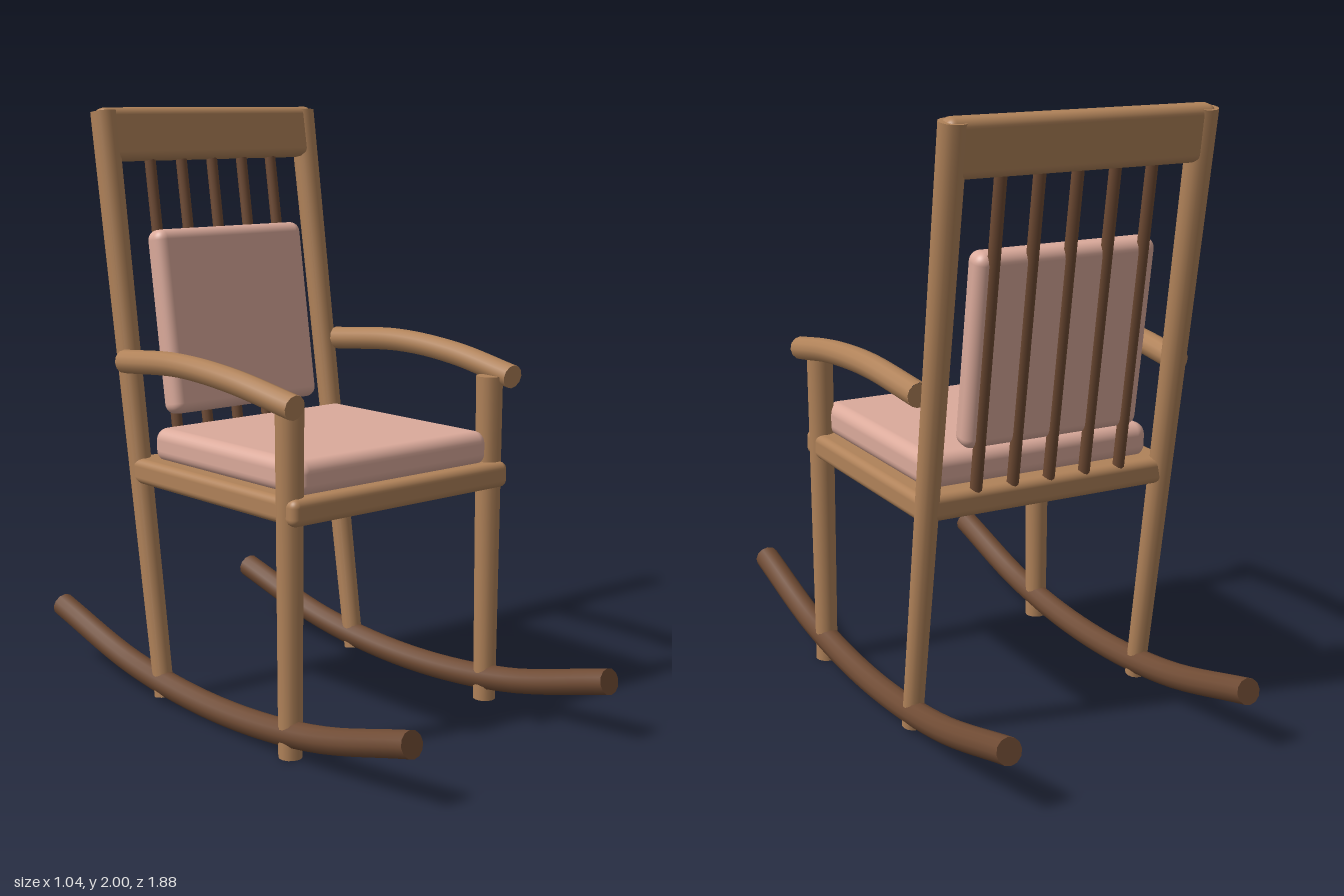
import * as THREE from 'three';
import { RoundedBoxGeometry } from 'three/addons/geometries/RoundedBoxGeometry.js';
import { mergeVertices, mergeGeometries } from 'three/addons/utils/BufferGeometryUtils.js';

const V = (x, y, z) => new THREE.Vector3(x, y, z);

export function createModel() {
  const chair = new THREE.Group();
  chair.name = 'rockingChair';

  const material = (name, color) => {
    const m = new THREE.MeshStandardMaterial({ color });
    m.name = name;
    return m;
  };
  const lightWood = material('light wood', 0xb08259);
  const darkWood = material('dark wood', 0x6e4a33);
  const fabric = material('pink fabric', 0xdbaa9b);

  const add = (name, geometry, mat) => {
    const mesh = new THREE.Mesh(geometry, mat);
    mesh.name = name;
    chair.add(mesh);
    return mesh;
  };

  // Straight round bar between two points, with optional taper
  const bar = (name, a, b, rBottom, rTop, mat, sides = 14) => {
    const mesh = add(name, new THREE.CylinderGeometry(rTop, rBottom, a.distanceTo(b), sides), mat);
    mesh.position.copy(a).lerp(b, 0.5);
    mesh.quaternion.setFromUnitVectors(V(0, 1, 0), b.clone().sub(a).normalize());
    return mesh;
  };

  // Curved round bar with flat end caps
  const bentBar = (name, points, r, mat, sides = 12) => {
    const curve = new THREE.CatmullRomCurve3(points);
    const parts = [new THREE.TubeGeometry(curve, 28, r, sides)];
    for (const t of [0, 1]) {
      const out = curve.getTangent(t).multiplyScalar(t ? 1 : -1);
      const cap = new THREE.CircleGeometry(r, sides);
      cap.applyQuaternion(new THREE.Quaternion().setFromUnitVectors(V(0, 0, 1), out));
      const p = curve.getPoint(t);
      parts.push(cap.translate(p.x, p.y, p.z));
    }
    return add(name, mergeVertices(mergeGeometries(parts)), mat);
  };

  const softBox = (name, w, h, d, r, pos, tilt, mat) => {
    const mesh = add(name, new RoundedBoxGeometry(w, h, d, 4, r), mat);
    mesh.position.copy(pos);
    mesh.rotation.x = tilt;
    return mesh;
  };

  // The back leans along one line in the yz plane
  const foot = V(0, 0.02, -0.298), head = V(0, 1.985, -0.6);
  const lean = Math.atan2(head.z - foot.z, head.y - foot.y);
  const onBack = (x, y) => V(x, y, foot.z + (y - foot.y) * Math.tan(lean));

  // Legs, armrests and rockers on each side
  for (const [side, s] of [['left', 1], ['right', -1]]) {
    const x = 0.43 * s;
    bar(side + 'FrontLeg', V(x, 0, 0.38), V(x, 1.12, 0.38), 0.038, 0.045, lightWood);
    bar(side + 'BackPost', onBack(x, foot.y), onBack(x, head.y), 0.034, 0.045, lightWood);
    bentBar(side + 'Armrest', [
      V(0.467 * s, 1.12, 0.45), V(0.479 * s, 1.168, 0.16),
      V(0.479 * s, 1.184, -0.12), V(0.467 * s, 1.16, -0.445),
    ], 0.04, lightWood);
    bentBar(side + 'Rocker', [
      V(x, 0.2, 0.932), V(x, 0.09, 0.48), V(x, 0.052, 0),
      V(x, 0.09, -0.48), V(x, 0.2, -0.932),
    ], 0.043, darkWood);
  }

  // Seat and top rail
  softBox('seat', 0.93, 0.086, 0.89, 0.025, V(0, 0.79, 0), 0, lightWood);
  softBox('topRail', 0.92, 0.18, 0.075, 0.028, onBack(0, 1.908), lean, lightWood);

  // Back spindles
  for (let i = -2; i <= 2; i++) {
    bar('spindle', onBack(i * 0.131, 0.8), onBack(i * 0.131, 1.85), 0.02, 0.02, darkWood, 10);
  }

  // Cushions
  softBox('seatCushion', 0.82, 0.115, 0.78, 0.04, V(0, 0.88, 0.015), 0, fabric);
  softBox('backCushion', 0.63, 0.63, 0.09, 0.035, V(0, 1.277, -0.453), lean, fabric);

  return chair;
}
